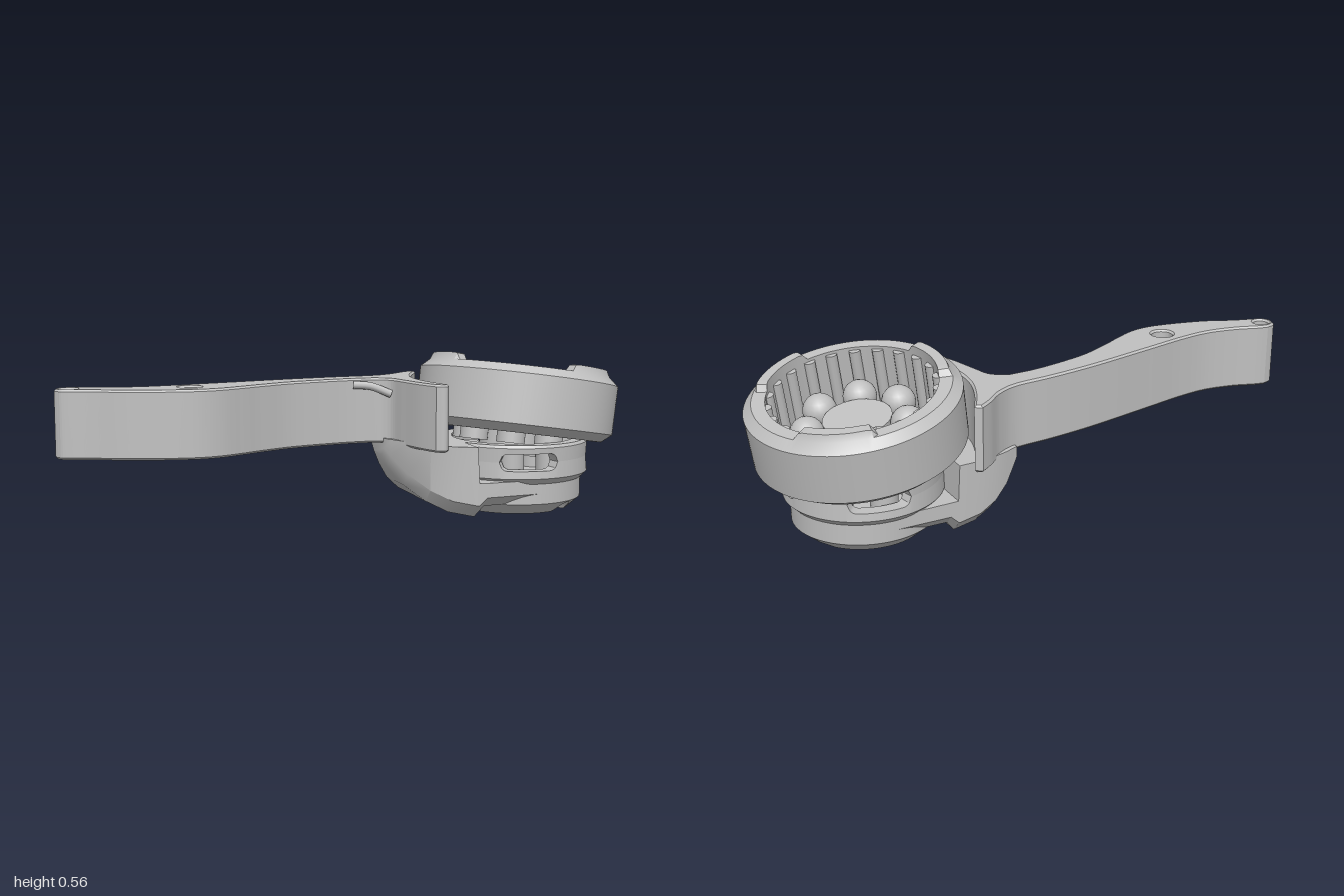
import * as THREE from 'three';
import { toCreasedNormals } from 'three/addons/utils/BufferGeometryUtils.js';

const CX = 0.62; // housing axis

// Sweeps a closed profile round the y axis; profile(angle) returns [radius, y] pairs
function sweep(profile, steps = 96) {
  const pos = [], idx = [];
  let rows = 0;
  for (let j = 0; j < steps; j++) {
    const a = (j / steps) * Math.PI * 2, p = profile(a);
    rows = p.length;
    p.forEach(([r, y]) => pos.push(r * Math.cos(a), y, r * Math.sin(a)));
  }
  for (let j = 0; j < steps; j++) {
    for (let i = 0; i < rows; i++) {
      const k = (i + 1) % rows, n = (j + 1) % steps;
      const a = j * rows + i, b = j * rows + k, c = n * rows + i, d = n * rows + k;
      idx.push(a, b, c, b, d, c);
    }
  }
  return fromArrays(pos, idx);
}

function fromArrays(pos, idx) {
  const g = new THREE.BufferGeometry();
  g.setAttribute('position', new THREE.Float32BufferAttribute(pos, 3));
  g.setIndex(idx);
  return toCreasedNormals(g, 0.5);
}

// Signed angular distance between two angles
const angleTo = (a, b) => Math.atan2(Math.sin(a - b), Math.cos(a - b));
const rad = THREE.MathUtils.degToRad;
// Half-ellipse bump of height 1 centred on angle c
const bump = (a, c, half) => Math.sqrt(Math.max(0, 1 - (angleTo(a, rad(c)) / half) ** 2));

export function createModel() {
  const model = new THREE.Group();
  const grey = new THREE.MeshStandardMaterial({ color: 0xc0c0c0 });
  grey.name = 'grey';
  const add = (name, geometry, parent = model, x = 0, y = 0, z = 0) => {
    const m = new THREE.Mesh(geometry, grey);
    m.name = name;
    m.position.set(x, y, z);
    parent.add(m);
    return m;
  };

  // Lever arm with a curved saddle at its end; points are x, z
  const v = (list) => list.map(([x, z]) => new THREE.Vector2(x, -z));
  const arm = new THREE.Shape();
  arm.moveTo(-0.95, 0.117);
  arm.splineThru(v([[-0.91, -0.108], [-0.83, -0.08], [-0.72, -0.062], [-0.6, -0.072], [-0.45, -0.1],
    [-0.18, -0.15], [0, -0.172], [0.14, -0.182], [0.22, -0.215], [0.28, -0.265], [0.325, -0.295]]));
  arm.lineTo(0.348, 0.28);
  arm.splineThru(v([[0.3, -0.19], [0.265, -0.09], [0.257, 0.01], [0.272, 0.12], [0.293, 0.195]]));
  arm.splineThru(v([[0.275, 0.213], [0.245, 0.2]]));
  arm.splineThru(v([[0.215, 0.12], [0.19, 0.02], [0.17, -0.05], [0.12, -0.087]]));
  arm.splineThru(v([[0, -0.083], [-0.18, -0.048], [-0.3, 0], [-0.39, 0.045], [-0.47, 0.08], [-0.55, 0.093],
    [-0.65, 0.08], [-0.78, 0.045], [-0.88, 0], [-0.97, -0.03], [-0.99, -0.045], [-1, -0.07],
    [-0.985, -0.105], [-0.95, -0.117]]));
  for (const [x, z, r] of [[-0.953, -0.07, 0.028], [-0.56, 0, 0.038]]) {
    const hole = new THREE.Path();
    hole.absarc(x, -z, r, 0, Math.PI * 2, false);
    arm.holes.push(hole);
  }
  const armGeo = new THREE.ExtrudeGeometry(arm, {
    depth: 0.219, curveSegments: 24, bevelThickness: 0.007, bevelSize: 0.007, bevelOffset: -0.007, bevelSegments: 1,
  });
  armGeo.rotateX(-Math.PI / 2);
  add('leverArm', toCreasedNormals(armGeo, 0.5), model, 0, 0.239, 0);

  // Small curved catch on the arm's side
  const catchPath = new THREE.CatmullRomCurve3([[0.04, 0.443, -0.08], [0.1, 0.438, -0.066], [0.17, 0.41, -0.045]]
    .map((p) => new THREE.Vector3(...p)));
  add('armCatch', new THREE.TubeGeometry(catchPath, 10, 0.014, 8));

  // Bracket joining arm and housing: sections of x, zMin, zMax, yBottom, yTop
  const sections = [
    [0.15, -0.2, -0.06, 0.19, 0.25], [0.165, -0.205, -0.03, 0.145, 0.25], [0.2, -0.22, 0.05, 0.09, 0.25],
    [0.25, -0.235, 0.14, 0.045, 0.25], [0.31, -0.243, 0.2, 0.015, 0.25], [0.385, -0.245, 0.24, 0.002, 0.25],
    [0.392, -0.245, 0.24, 0.002, 0.125], [0.42, -0.245, 0.245, 0.04, 0.125], [0.62, -0.245, 0.245, 0.045, 0.125],
  ];
  const pos = [], idx = [];
  sections.forEach(([x, z0, z1, y0, y1]) => {
    const c = Math.min(0.045, (y1 - y0) * 0.4);
    pos.push(x, y0, z0 + c, x, y0 + c, z0, x, y1, z0, x, y1, z1, x, y0 + c, z1, x, y0, z1 - c);
  });
  for (let s = 0; s < sections.length - 1; s++) {
    for (let i = 0; i < 6; i++) {
      const k = (i + 1) % 6, a = s * 6 + i, b = s * 6 + k;
      idx.push(a, b, a + 6, b, b + 6, a + 6);
    }
  }
  const last = (sections.length - 1) * 6;
  for (let i = 1; i < 5; i++) idx.push(0, i + 1, i, last, last + i, last + i + 1);
  add('bracket', fromArrays(pos, idx));

  // Lower housing with a chamfered foot and a lobed recess underneath
  const housing = new THREE.Group();
  housing.name = 'housing';
  housing.position.x = CX;
  model.add(housing);
  const lobes = [60, 150, 240, 330];
  const recess = (a) => 0.13 + 0.063 * Math.max(...lobes.map((c) => bump(a, c, 0.28)));
  const notch = (a) => 0.034 * Math.max(bump(a, 58, 0.17), 0.3 * bump(a, -28, 0.13));
  add('lowerHousing', sweep((a) => [
    [recess(a), notch(a)], [0.2 + notch(a) * 1.125, notch(a)], [0.245, 0.04], [0.245, 0.117],
    [0, 0.117], [0, 0.044], [recess(a), 0.044],
  ], 144), housing);
  add('recessHub', sweep(() => [[0.045, 0.01], [0.08, 0.01], [0.08, 0.05], [0.045, 0.05]], 32), housing);
  for (const c of lobes) {
    const a = rad(c);
    add('recessBoss', sweep(() => [[0.016, 0.012], [0.034, 0.012], [0.034, 0.05], [0.016, 0.05]], 20),
      housing, 0.148 * Math.cos(a), 0, 0.148 * Math.sin(a));
  }

  // Collar in two bands that part to leave round-ended windows
  const gap = (a) => {
    let h = 0;
    for (const c of [11, 101, -79]) {
      const over = Math.abs(angleTo(a, rad(c))) - 0.28;
      if (over < 0.12) h = 0.03 * Math.sqrt(1 - (Math.max(over, 0) / 0.12) ** 2);
    }
    return h;
  };
  add('collarLowerBand', sweep((a) => [
    [0.22, 0.112], [0.248, 0.112], [0.268, 0.133], [0.265, 0.19 - gap(a)], [0.22, 0.19 - gap(a)],
  ], 180), housing);
  add('collarUpperBand', sweep((a) => [
    [0.22, 0.19 + gap(a)], [0.265, 0.19 + gap(a)], [0.267, 0.24], [0.26, 0.25], [0.22, 0.25],
  ], 180), housing);

  // Tilted ring with three raised lugs on its rim
  const ring = new THREE.Group();
  ring.name = 'tiltedRing';
  ring.position.set(0.632, 0.382, 0);
  ring.quaternion.setFromUnitVectors(new THREE.Vector3(0, 1, 0), new THREE.Vector3(0.15, 1, -0.09).normalize());
  model.add(ring);
  const lug = (a) => Math.max(...[180, 57, -57].map((c) =>
    THREE.MathUtils.clamp((rad(24) - Math.abs(angleTo(a, rad(c)))) / 0.06, 0, 1)));
  add('ringBody', sweep((a) => [
    [0.28, -0.122], [0.318, -0.122], [0.354, -0.093], [0.356, 0.08],
    [0.325, 0.108], [0.315, 0.108 + 0.024 * lug(a)], [0.28, 0.108 + 0.024 * lug(a)],
  ], 120), ring);

  // Ribs lining the bore
  for (let i = 0; i < 22; i++) {
    const a = (i / 22) * Math.PI * 2;
    add('boreRib', new THREE.CylinderGeometry(0.02, 0.02, 0.195, 12), ring,
      0.28 * Math.cos(a), 0, 0.28 * Math.sin(a));
  }

  // Centre post tilted with the ring, and seven domed rollers above upright sockets
  add('centrePost', new THREE.CylinderGeometry(0.115, 0.115, 0.2, 28), ring, 0, -0.1, 0);
  for (let i = 0; i < 7; i++) {
    const a = -Math.PI / 2 + (i / 7) * Math.PI * 2;
    const x = 0.168 * Math.cos(a), z = 0.168 * Math.sin(a);
    add('rollerSocket', new THREE.CylinderGeometry(0.046, 0.046, 0.11, 20), housing, x, 0.165, z);
    add('roller', new THREE.CylinderGeometry(0.05, 0.05, 0.14, 20), ring, x, -0.09, z);
    add('rollerDome', new THREE.SphereGeometry(0.058, 20, 12), ring, x, -0.02, z);
  }
  return model;
}
